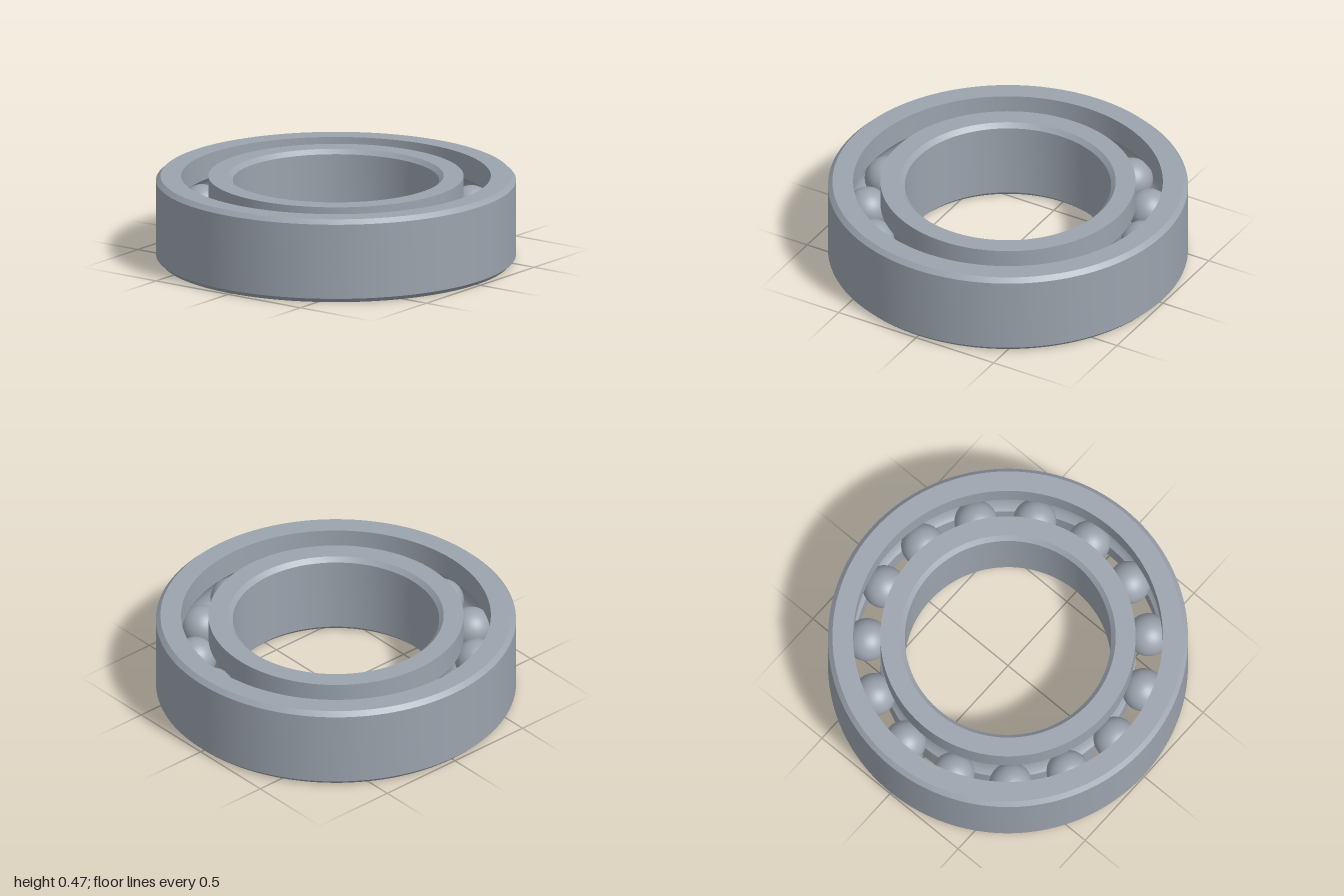
import * as THREE from 'three';
import { toCreasedNormals } from 'three/addons/utils/BufferGeometryUtils.js';

const HEIGHT = 0.475, MID = HEIGHT / 2, CHAMFER = 0.025;
const PITCH = 0.786, BALL = 0.12, GROOVE = 0.121, BALLS = 15;

// Arc of the ball groove where it cuts a wall at the given radius;
// runs upward on the inner race and downward on the outer race.
function groove(wall) {
  const offset = wall - PITCH;
  const half = Math.acos(Math.abs(offset) / GROOVE);
  const start = offset < 0 ? Math.PI : 0;
  const points = [];
  for (let i = 0; i <= 14; i++) {
    const a = start + half - (2 * half * i) / 14;
    points.push([PITCH + GROOVE * Math.cos(a), MID + GROOVE * Math.sin(a)]);
  }
  return points;
}

// Closed counter-clockwise profile revolved about the y axis
function ring(name, profile, material) {
  const points = [...profile, profile[0]].map(([r, y]) => new THREE.Vector2(r, y));
  const geometry = toCreasedNormals(new THREE.LatheGeometry(points, 128), 0.5);
  const mesh = new THREE.Mesh(geometry, material);
  mesh.name = name;
  return mesh;
}

export function createModel() {
  const model = new THREE.Group();
  model.name = 'ballBearing';
  const steel = new THREE.MeshStandardMaterial({ color: 0x9ba3ad });
  steel.name = 'steel';

  // Outer race, chamfered on its outside edges
  const outerWall = 0.86;
  model.add(ring('outerRace', [
    [outerWall, 0], [1 - CHAMFER, 0], [1, CHAMFER],
    [1, HEIGHT - CHAMFER], [1 - CHAMFER, HEIGHT], [outerWall, HEIGHT],
    ...groove(outerWall),
  ], steel));

  // Inner race, chamfered around the bore
  const innerWall = 0.709, bore = 0.573;
  model.add(ring('innerRace', [
    [bore + CHAMFER, 0], [innerWall, 0],
    ...groove(innerWall),
    [innerWall, HEIGHT], [bore + CHAMFER, HEIGHT],
    [bore, HEIGHT - CHAMFER], [bore, CHAMFER],
  ], steel));

  // Balls spaced evenly, with one on the -x axis
  const balls = new THREE.Group();
  balls.name = 'balls';
  const ballGeometry = new THREE.SphereGeometry(BALL, 40, 24);
  for (let i = 0; i < BALLS; i++) {
    const a = Math.PI + (i * 2 * Math.PI) / BALLS;
    const ball = new THREE.Mesh(ballGeometry, steel);
    ball.name = `ball${i + 1}`;
    ball.position.set(PITCH * Math.cos(a), MID, PITCH * Math.sin(a));
    balls.add(ball);
  }
  model.add(balls);
  return model;
}
